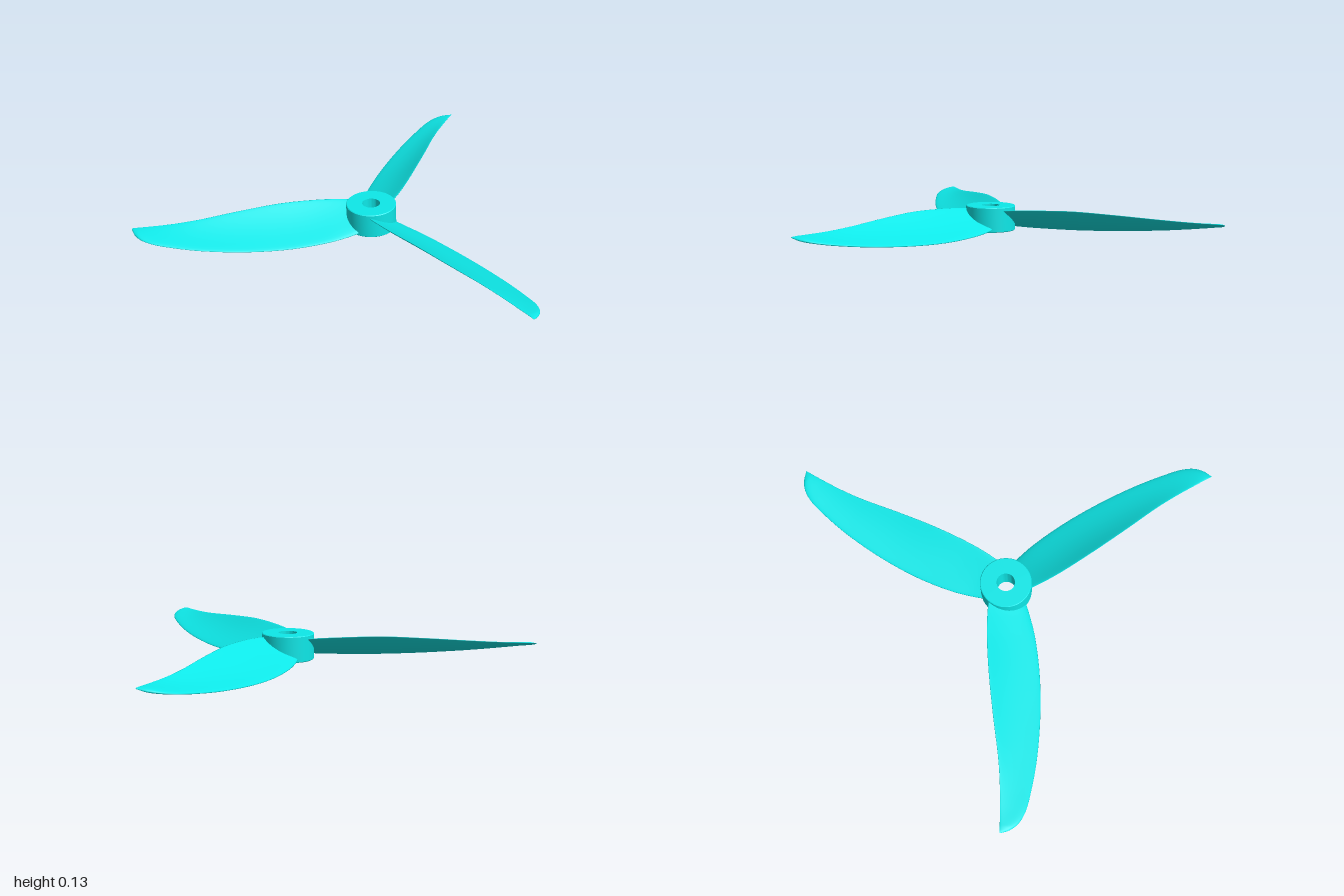
import * as THREE from 'three';
import { toCreasedNormals } from 'three/addons/utils/BufferGeometryUtils.js';

const V = (p) => new THREE.Vector3(...p);

// Lofts thin cambered sections between the low convex edge and the high straight edge
function bladeGeometry() {
  const low = new THREE.CatmullRomCurve3([
    [0.07, 0.022, -0.085], [0.14, 0.014, -0.1], [0.24, 0.008, -0.115], [0.42, 0.004, -0.121],
    [0.62, 0.011, -0.106], [0.82, 0.027, -0.072], [0.96, 0.044, -0.034], [1.05, 0.058, -0.001],
    [1.1, 0.068, 0.035], [1.125, 0.075, 0.075], [1.134, 0.082, 0.112],
  ].map(V), false, 'centripetal');
  const high = new THREE.CatmullRomCurve3([
    [0.07, 0.112, 0.085], [0.14, 0.118, 0.097], [0.24, 0.123, 0.107], [0.42, 0.126, 0.112],
    [0.62, 0.115, 0.108], [0.82, 0.1, 0.1], [0.94, 0.093, 0.103], [1.03, 0.09, 0.11],
    [1.085, 0.089, 0.115], [1.12, 0.088, 0.119], [1.135, 0.087, 0.121],
  ].map(V), false, 'centripetal');

  const stations = 70, half = 16, ring = half * 2;
  const positions = [], index = [];
  for (let i = 0; i <= stations; i++) {
    const t = i / stations;
    const a = low.getPoint(t), b = high.getPoint(t);
    const chord = b.clone().sub(a);
    const c = chord.length();
    const up = new THREE.Vector3(0, chord.z, -chord.y).normalize();
    const thick = Math.min(0.013 - 0.006 * t, c * 0.12);
    const camber = c * 0.065 * Math.sin(Math.PI * Math.min(1, 0.15 + t));
    for (let j = 0; j < ring; j++) {
      const angle = (j / ring) * Math.PI * 2;
      const s = (1 - Math.cos(angle)) / 2;
      const h = Math.sin(angle) * thick * (1.15 - 0.5 * s) - camber * 4 * s * (1 - s);
      const p = a.clone().addScaledVector(chord, s).addScaledVector(up, h);
      positions.push(p.x, Math.max(p.y, 0), p.z);
    }
  }
  for (let i = 0; i < stations; i++) {
    for (let j = 0; j < ring; j++) {
      const k = (j + 1) % ring;
      const p = i * ring + j, q = i * ring + k;
      index.push(p, q, p + ring, q, q + ring, p + ring);
    }
  }
  // Close the root and the tip
  const last = stations * ring;
  for (let j = 1; j < ring - 1; j++) {
    index.push(0, j + 1, j, last, last + j, last + j + 1);
  }
  const g = new THREE.BufferGeometry();
  g.setAttribute('position', new THREE.Float32BufferAttribute(positions, 3));
  g.setIndex(index);
  g.computeVertexNormals();
  return g;
}

export function createModel() {
  const model = new THREE.Group();
  model.name = 'propeller';
  const material = new THREE.MeshStandardMaterial({ color: 0x0ee8e8 });

  // Everything turns about the hub axis
  const rotor = new THREE.Group();
  rotor.name = 'rotor';
  rotor.position.set(-0.23, 0, 0.05);
  model.add(rotor);

  // Hub ring with a through bore
  const profile = [
    [0.043, 0.008], [0.118, 0.008], [0.121, 0.011], [0.121, 0.126], [0.118, 0.129], [0.043, 0.129], [0.043, 0.008],
  ].map(([x, y]) => new THREE.Vector2(x, y));
  const hub = new THREE.Mesh(toCreasedNormals(new THREE.LatheGeometry(profile, 64), 0.6), material);
  hub.name = 'hub';
  rotor.add(hub);

  // Three identical twisted blades
  const geometry = bladeGeometry();
  for (let i = 0; i < 3; i++) {
    const blade = new THREE.Mesh(geometry, material);
    blade.name = `blade${i + 1}`;
    blade.rotation.y = (i * Math.PI * 2) / 3;
    rotor.add(blade);
  }
  return model;
}
